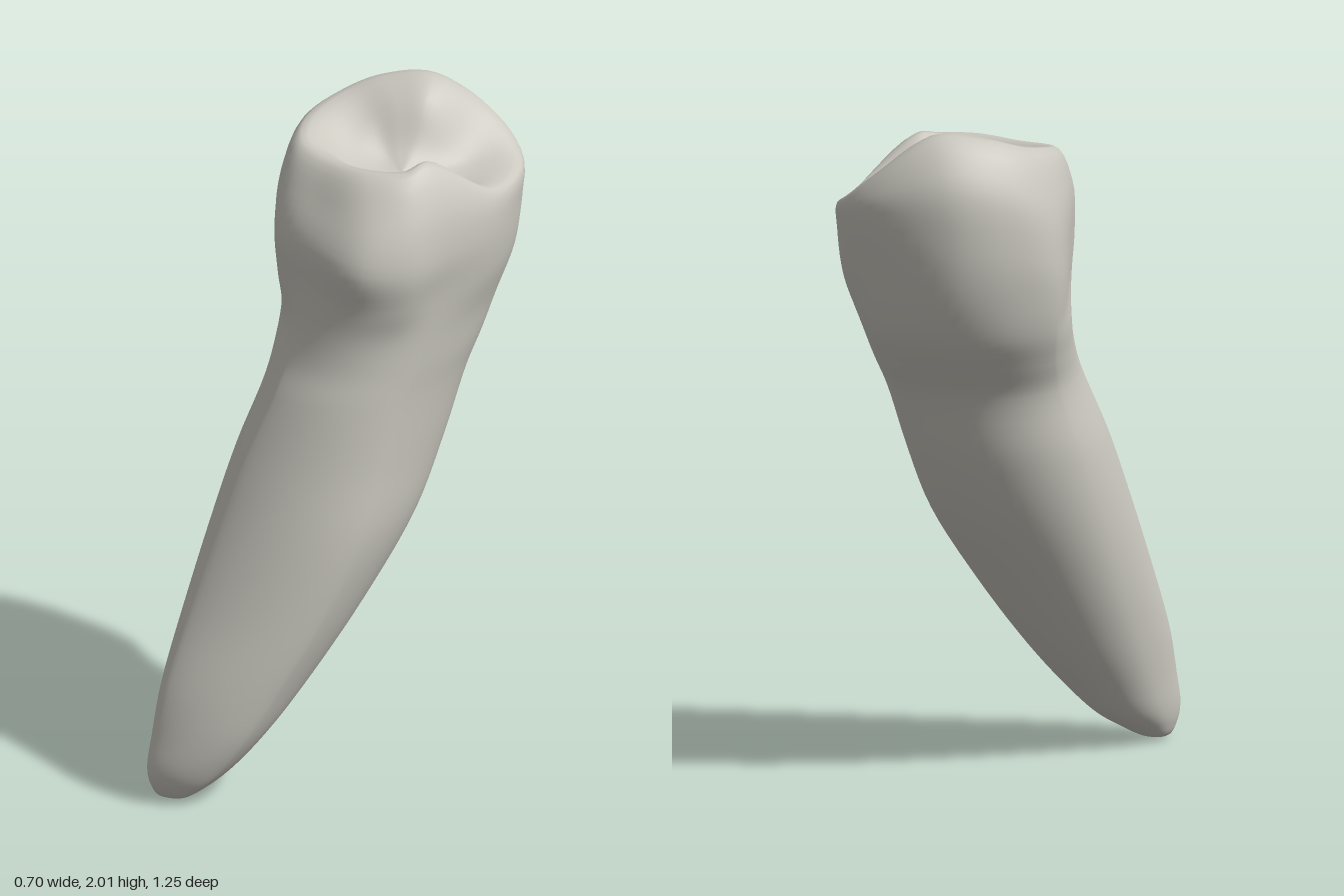
import * as THREE from 'three';
import { mergeVertices } from 'three/addons/utils/BufferGeometryUtils.js';

const AROUND = 72; // points round each loop
const STEPS = 5;   // rows between key loops

// Root cross-sections: y, min x, max x, front z, back z
const rootRings = [
  [0.012, -0.11, -0.02, 0.59, 0.505],
  [0.05, -0.132, 0.03, 0.615, 0.435],
  [0.1, -0.147, 0.07, 0.627, 0.355],
  [0.2, -0.163, 0.125, 0.61, 0.25],
  [0.34, -0.187, 0.175, 0.574, 0.115],
  [0.56, -0.222, 0.24, 0.484, -0.065],
  [0.8, -0.25, 0.288, 0.39, -0.24],
  [1.0, -0.26, 0.293, 0.313, -0.345],
  [1.2, -0.255, 0.3, 0.23, -0.425],
  [1.3, -0.288, 0.308, 0.185, -0.485],
  [1.4, -0.325, 0.316, 0.16, -0.54],
];

// Crown loops of twelve points, from +x round by the front
const neck = [
  [0.328, 1.51, -0.13], [0.315, 1.5, 0.005], [0.225, 1.5, 0.108], [0.06, 1.53, 0.15],
  [-0.095, 1.52, 0.112], [-0.235, 1.5, -0.055], [-0.345, 1.51, -0.24], [-0.3, 1.53, -0.395],
  [-0.165, 1.54, -0.53], [0.08, 1.56, -0.582], [0.215, 1.55, -0.535], [0.312, 1.53, -0.36],
];
const widest = [
  [0.345, 1.64, -0.15], [0.335, 1.62, 0], [0.247, 1.63, 0.12], [0.06, 1.67, 0.15],
  [-0.1, 1.66, 0.12], [-0.247, 1.63, -0.06], [-0.35, 1.62, -0.25], [-0.306, 1.67, -0.4],
  [-0.18, 1.7, -0.54], [0.08, 1.76, -0.622], [0.22, 1.7, -0.56], [0.324, 1.66, -0.37],
];
const shoulder = [
  [0.32, 1.79, -0.16], [0.3, 1.77, -0.025], [0.21, 1.775, 0.07], [0.04, 1.78, 0.095],
  [-0.12, 1.79, 0.075], [-0.25, 1.8, -0.065], [-0.322, 1.8, -0.25], [-0.28, 1.85, -0.39],
  [-0.15, 1.88, -0.54], [0.09, 1.82, -0.62], [0.22, 1.775, -0.562], [0.314, 1.75, -0.37],
];
const rim = [
  [0.245, 1.903, -0.17], [0.235, 1.89, -0.08], [0.14, 1.888, -0.01], [0, 1.886, 0.005],
  [-0.125, 1.897, -0.01], [-0.21, 1.92, -0.1], [-0.235, 1.95, -0.25], [-0.18, 1.988, -0.37],
  [-0.065, 1.997, -0.48], [0.085, 1.875, -0.58], [0.2, 1.795, -0.535], [0.29, 1.78, -0.37],
];
const basin = [
  [0.17, 1.85, -0.2], [0.16, 1.84, -0.15], [0.1, 1.825, -0.11], [0.03, 1.82, -0.1],
  [-0.04, 1.83, -0.11], [-0.09, 1.865, -0.17], [-0.1, 1.91, -0.25], [-0.06, 1.95, -0.32],
  [0, 1.962, -0.39], [0.09, 1.835, -0.43], [0.13, 1.785, -0.4], [0.18, 1.78, -0.3],
];
const pit = [0.07, 1.795, -0.22];
const floor = basin.map((p) => p.map((v, i) => pit[i] + (v - pit[i]) * (i === 1 ? 0.25 : 0.45)));

// Rounded section of four quarters meeting at its extremes; the front ridge leans
// to -x near the tip, and both front quarters change fullness with height
function rootLoop([y, x0, x1, zf, zb]) {
  const k = Math.min(y / 1.5, 1), mid = (zf + zb) / 2;
  const along = (s) => x0 + (x1 - x0) * s;
  const xFront = along(0.3 + 0.31 * k * k), xBack = along(0.5 + 0.12 * k);
  const zLow = mid - 0.04 * k, zHigh = mid + 0.08 * k;
  return Array.from({ length: AROUND }, (_, j) => {
    const a = (j / AROUND) * Math.PI * 2, c = Math.cos(a), s = Math.sin(a);
    const xm = s >= 0 ? xFront : xBack, zm = c >= 0 ? zHigh : zLow;
    const power = s < 0 ? 1 : c < 0 ? 1 + 0.42 * k * k : 1.28 - 0.4 * k * k;
    const cp = Math.sign(c) * Math.abs(c) ** power, sp = Math.sign(s) * Math.abs(s) ** power;
    return new THREE.Vector3(
      xm + (c >= 0 ? x1 - xm : xm - x0) * cp, y,
      zm + (s >= 0 ? zf - zm : zm - zb) * sp);
  });
}

// Smooth closed loop through a few points
function crownLoop(points) {
  const curve = new THREE.CatmullRomCurve3(points.map((p) => new THREE.Vector3(...p)), true);
  return Array.from({ length: AROUND }, (_, j) => curve.getPoint(j / AROUND));
}

const pointLoop = (x, y, z) =>
  Array.from({ length: AROUND }, () => new THREE.Vector3(x, y, z));

// Smooth skin over a stack of loops whose first and last are single points
function skin(loops) {
  const rows = (loops.length - 1) * STEPS;
  const positions = [], index = [];
  const columns = Array.from({ length: AROUND }, (_, j) =>
    new THREE.CatmullRomCurve3(loops.map((l) => l[j])));
  for (let i = 0; i <= rows; i++) {
    for (let j = 0; j < AROUND; j++) {
      const p = columns[j].getPoint(i / rows);
      positions.push(p.x, Math.max(p.y, 0), p.z);
      const a = i * AROUND + j, b = i * AROUND + (j + 1) % AROUND;
      if (i > 0 && i < rows) index.push(a, a + AROUND, b);
      if (i < rows - 1) index.push(a + AROUND, b + AROUND, b);
    }
  }
  const geometry = new THREE.BufferGeometry();
  geometry.setAttribute('position', new THREE.Float32BufferAttribute(positions, 3));
  geometry.setIndex(index);
  const merged = mergeVertices(geometry, 1e-5);
  merged.computeVertexNormals();
  return merged;
}

export function createModel() {
  const group = new THREE.Group();
  group.name = 'tooth';
  const enamel = new THREE.MeshStandardMaterial({ color: 0xc9c7be });
  enamel.name = 'enamel';

  // Root and crown form one continuous surface, closed at the tip and in the basin
  const body = new THREE.Mesh(skin([
    pointLoop(-0.07, 0, 0.555),
    ...rootRings.map(rootLoop),
    ...[neck, widest, shoulder, rim, basin, floor].map(crownLoop),
    pointLoop(...pit),
  ]), enamel);
  body.name = 'crownAndRoot';
  group.add(body);
  return group;
}
